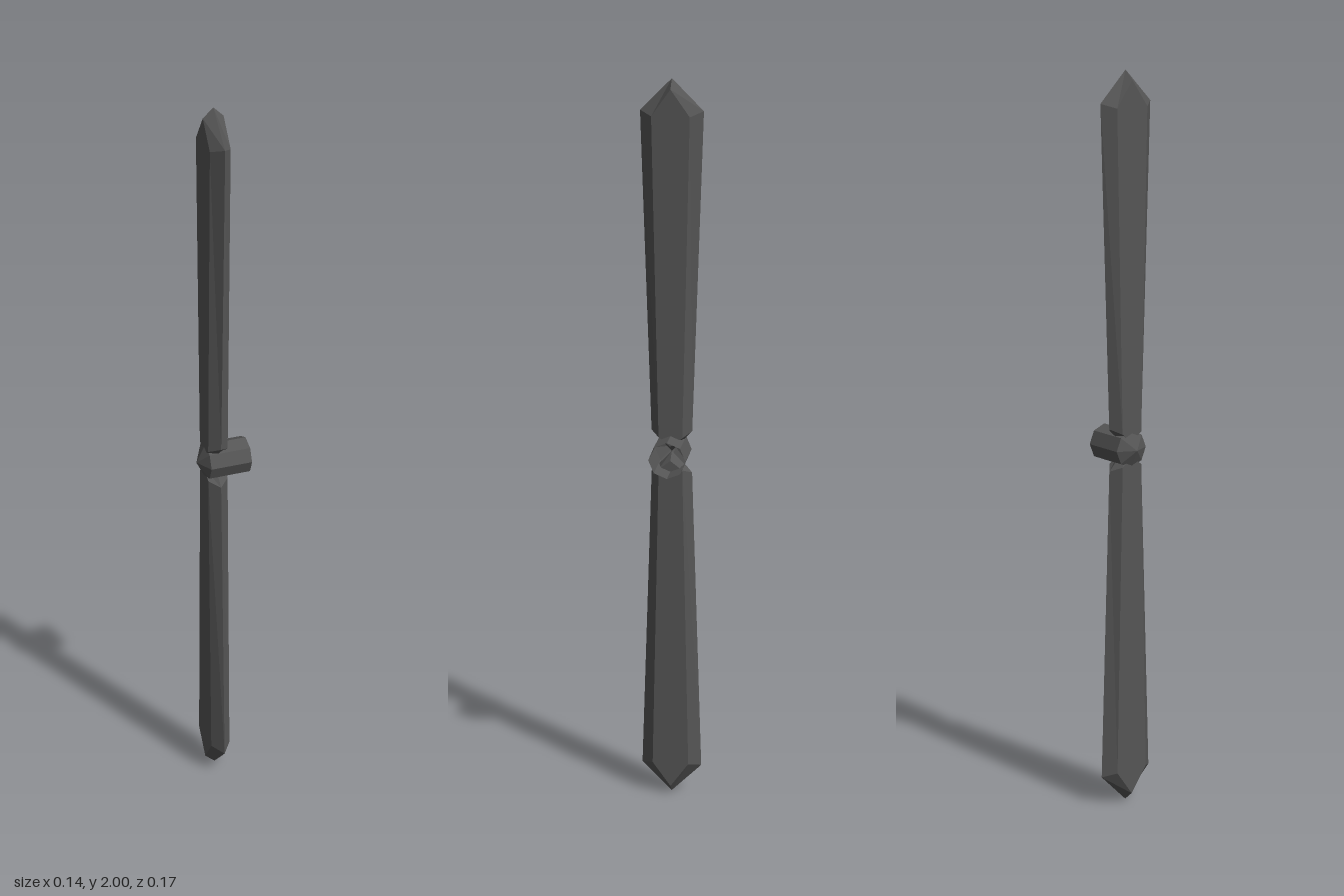
import * as THREE from 'three';

const darkGrey = new THREE.MeshStandardMaterial({ color: 0x555555, flatShading: true, side: THREE.DoubleSide });
darkGrey.name = 'darkGrey';

// Six-sided outline of a blade at depth x, counter-clockwise seen from +x
function outline(x, rootY, rootW, rootShoulder, tipW, tipShoulder, tipY) {
  return [
    [x, rootY, 0], [x, rootShoulder, -rootW], [x, tipShoulder, -tipW],
    [x, tipY, 0], [x, tipShoulder, tipW], [x, rootShoulder, rootW],
  ];
}

// Bevelled blade: narrow back face, wide middle edge, narrow front face
function bladeGeometry() {
  const face = x => outline(x, 0.02, 0.032, 0.045, 0.05, 0.905, 0.975);
  const layers = [face(-0.048), outline(-0.02, 0, 0.055, 0.058, 0.083, 0.917, 1), face(0.007)];
  const n = 6;
  const index = [];
  for (let l = 0; l < 2; l++) {
    for (let i = 0; i < n; i++) {
      const a = l * n + i, b = l * n + (i + 1) % n;
      index.push(a, b, b + n, a, b + n, a + n);
    }
  }
  // flat faces on both sides
  for (let i = 1; i < n - 1; i++) {
    index.push(0, i + 1, i);
    index.push(2 * n, 2 * n + i, 2 * n + i + 1);
  }
  const indexed = new THREE.BufferGeometry();
  indexed.setAttribute('position', new THREE.Float32BufferAttribute(layers.flat(2), 3));
  indexed.setIndex(index);
  const geometry = indexed.toNonIndexed();
  geometry.computeVertexNormals();
  return geometry;
}

export function createModel() {
  const propeller = new THREE.Group();
  propeller.name = 'propeller';

  // Octagonal shaft with a pointed nose, open at the rear
  const profile = [[0.05, -0.07], [0.05, 0.045], [0, 0.07]].map(p => new THREE.Vector2(...p));
  const hub = new THREE.Mesh(new THREE.LatheGeometry(profile, 8).rotateZ(Math.PI / 2), darkGrey);
  hub.name = 'hub';
  hub.position.y = 1;
  propeller.add(hub);

  // Two opposite blades
  const geometry = bladeGeometry();
  ['upperBlade', 'lowerBlade'].forEach((name, i) => {
    const blade = new THREE.Mesh(geometry, darkGrey);
    blade.name = name;
    blade.position.y = 1;
    blade.rotation.x = i * Math.PI;
    propeller.add(blade);
  });

  return propeller;
}
